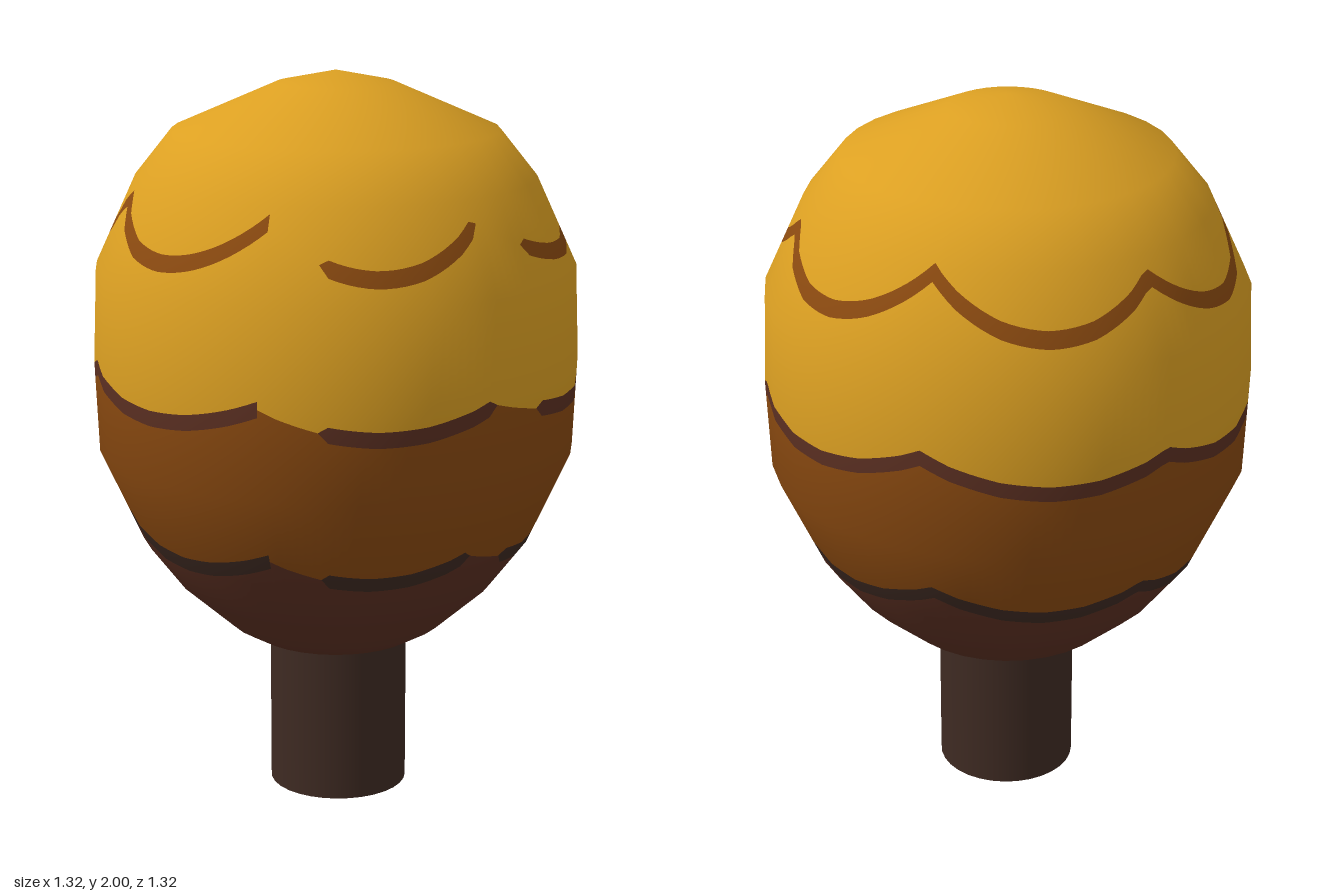
import * as THREE from 'three';

const mat = (name, color) => new THREE.MeshStandardMaterial({ name, color });

// Crown outline, bottom to top: [radius, height]
const PROFILE = [[0, 0.43], [0.23, 0.435], [0.3, 0.475], [0.44, 0.6], [0.535, 0.725], [0.65, 0.98],
  [0.66, 1.23], [0.65, 1.48], [0.54, 1.72], [0.44, 1.845], [0.16, 1.967], [0, 2]];

// Smooth outline normals [outward, up] at each outline point
const NORMALS = PROFILE.map((p, i) => {
  if (i === 0) return [0, -1];
  if (i === PROFILE.length - 1) return [0, 1];
  const n = [0, 0];
  for (const [a, b] of [[PROFILE[i - 1], p], [p, PROFILE[i + 1]]]) {
    const dr = b[0] - a[0], dy = b[1] - a[1], l = Math.hypot(dr, dy);
    n[0] += dy / l;
    n[1] -= dr / l;
  }
  return n;
});

function outline(y) {
  let i = 0;
  while (i < PROFILE.length - 2 && y > PROFILE[i + 1][1]) i++;
  const t = (y - PROFILE[i][1]) / (PROFILE[i + 1][1] - PROFILE[i][1]);
  const mix = (a, b) => a + (b - a) * t;
  return {
    r: mix(PROFILE[i][0], PROFILE[i + 1][0]),
    n: [mix(NORMALS[i][0], NORMALS[i + 1][0]), mix(NORMALS[i][1], NORMALS[i + 1][1])],
  };
}

// Peaks of the scalloped edges: [angle from front in degrees, height offset]
const PEAKS = [[-72, 0], [-16, -0.015], [59, 0], [117, 0.03], [175, -0.01], [229, 0], [288, 0]];
const START = -72, SIDES = 32, SEGMENTS = 160;

// Height of a scalloped edge at an angle
const scallop = (peak, depth) => (deg) => {
  let i = 0;
  while (i < PEAKS.length - 2 && deg > PEAKS[i + 1][0]) i++;
  const [a, ha] = PEAKS[i], [b, hb] = PEAKS[i + 1];
  const t = (deg - a) / (b - a);
  return peak + ha + (hb - ha) * t - depth * 4 * t * (1 - t);
};

// Stripe half-width, closing to nothing at the two breaks
const halfWidth = (deg) => ((deg < -58 || (deg > -16 && deg < -1)) ? 0 : 0.021);
const shifted = (edge, sign) => (deg) => edge(deg) + sign * halfWidth(deg);

// Patch of the crown between two edge curves
function band(name, lower, upper, material) {
  const pos = [], nor = [], index = [];
  const rows = PROFILE.length + 2;
  for (let i = 0; i <= SEGMENTS; i++) {
    const deg = START + (i / SEGMENTS) * 360;
    const lo = lower(deg), hi = upper(deg);
    const phi = THREE.MathUtils.degToRad(deg);
    const step = (2 * Math.PI) / SIDES;
    const off = phi - Math.round(phi / step - 0.5) * step - step / 2;
    const facet = Math.cos(step / 2) / Math.cos(off);
    const ys = [lo, ...PROFILE.map((p) => Math.min(hi, Math.max(lo, p[1]))), hi];
    for (const y of ys) {
      const { r, n } = outline(y);
      const l = Math.hypot(n[0], n[1]);
      pos.push(Math.sin(phi) * r * facet, y, Math.cos(phi) * r * facet);
      nor.push(Math.sin(phi) * n[0] / l, n[1] / l, Math.cos(phi) * n[0] / l);
    }
  }
  for (let i = 0; i < SEGMENTS; i++) {
    for (let j = 0; j < rows - 1; j++) {
      const a = i * rows + j, b = a + rows;
      index.push(a, b, b + 1, a, b + 1, a + 1);
    }
  }
  const g = new THREE.BufferGeometry();
  g.setAttribute('position', new THREE.Float32BufferAttribute(pos, 3));
  g.setAttribute('normal', new THREE.Float32BufferAttribute(nor, 3));
  g.setIndex(index);
  const mesh = new THREE.Mesh(g, material);
  mesh.name = name;
  return mesh;
}

export function createModel() {
  const model = new THREE.Group();
  model.name = 'tree';
  const gold = mat('gold', 0xdca022);
  const amber = mat('amberBrown', 0x8b4a10);
  const russet = mat('russetBrown', 0x5c3022);
  const bark = mat('barkBrown', 0x3e2a22);

  // Trunk
  const trunk = new THREE.Mesh(new THREE.CylinderGeometry(0.19, 0.19, 0.45, 32), bark);
  trunk.name = 'trunk';
  trunk.position.set(-0.003, 0.225, 0.01);
  model.add(trunk);

  // Crown layers, each edged by a scalloped stripe
  const crown = new THREE.Group();
  crown.name = 'crown';
  const low = scallop(0.8, 0.06), mid = scallop(1.225, 0.067), high = scallop(1.68, 0.122);
  const layers = [
    ['lowerLeaves', () => 0.43, shifted(low, -1), russet],
    ['lowerStripe', shifted(low, -1), shifted(low, 1), bark],
    ['middleLeaves', shifted(low, 1), shifted(mid, -1), amber],
    ['middleStripe', shifted(mid, -1), shifted(mid, 1), russet],
    ['upperLeaves', shifted(mid, 1), shifted(high, -1), gold],
    ['upperStripe', shifted(high, -1), shifted(high, 1), amber],
    ['crownTop', shifted(high, 1), () => 2, gold],
  ];
  for (const layer of layers) crown.add(band(...layer));
  model.add(crown);
  return model;
}
